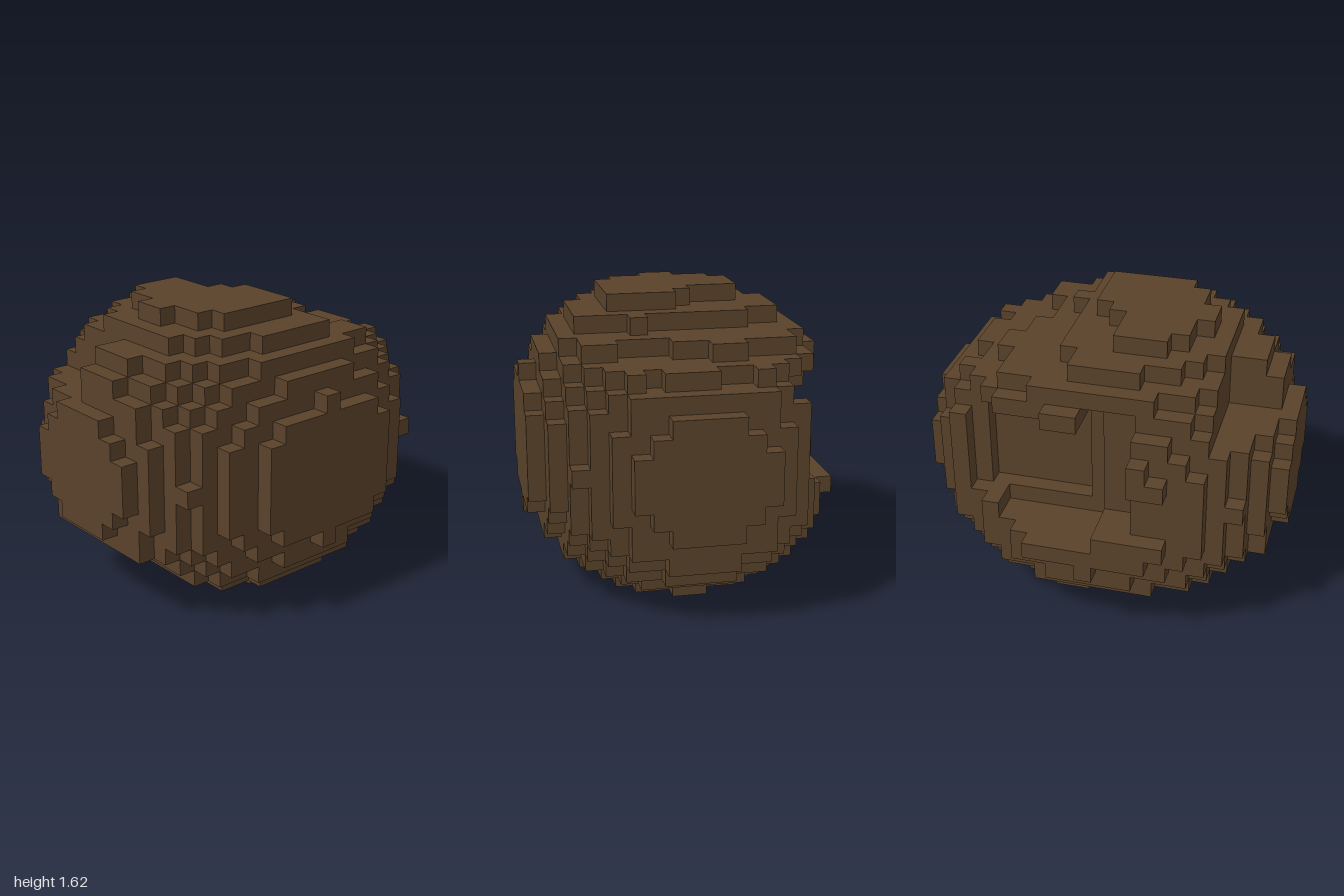
import * as THREE from 'three';

const V = 2 / 21; // edge of one block

// Blocky ellipsoid: x runs over half numbers, y and z over whole ones
const inBody = (x, y, z) => Math.abs(z) <= 10 && x * x + 1.109 * y * y + 0.74 * z * z <= 90;

// Hollow in the -x side with a stepped inner wall, notched rim and worn back corner
function inHollow(x, y, z) {
  const wall = z === -7 ? -5 : z < 0 ? -4 : z === 0 ? -5 : -6;
  if (z >= -7 && z <= 2 && x < wall) {
    if (y >= -1 && y <= (z < 0 ? 4 : 5)) return true;
    // rubble left on the floor
    if (y === -2 && z > -6 && z < 1 && x < -5) return true;
  }
  if (x < -8 && (y > 3 || (y > -2 && y < 2))) return true;
  if (z <= -7) return x < -6;
  if (z <= -5) return x < -7;
  return z === -4 && x < -8;
}

// Worn back edge of the upper levels: first block left in z
function backLimit(x, y) {
  if (y === 8) return x < -1 ? 1 : x < 0 ? 0 : -1;
  if (y === 7) return x < -4 ? -1 : x === 2.5 ? -3 : -2;
  if (y === 6) return x > 1 && x < 4 ? -4 : x > -3 && x < -1 ? -6 : -5;
  if (y === 5) return x === 2.5 || (x > -3 && x < -1) ? -7 : -8;
  return -10;
}

// Worn front and -x edge of the lowest levels: last block left in z
function frontLimit(x, y) {
  if (y === -8) return x < -3 ? -3 : x < -2 ? -2 : x < -1 ? 0 : x > 3 ? 1 : x > 2 ? 2 : 3;
  if (y === -7) return x < -4 ? -1 : x < -3 ? 1 : x < -1 ? 2 : 4;
  if (y === -6) return 6;
  return y === -5 ? 7 : 10;
}

// Chip out of the upper front
const inFrontChip = (x, y, z) => z >= 7 && y >= 4 && y <= 6 && x < -1 && x > -6;

const solid = (x, y, z) =>
  inBody(x, y, z) && !inHollow(x, y, z) && !inFrontChip(x, y, z) &&
  z >= backLimit(x, y) && z <= frontLimit(x, y);

// Outer faces of all blocks
function blockSurface() {
  const positions = [], normals = [];
  const put = (p, n) => {
    positions.push(p[0] * V, (p[1] + 8.5) * V, p[2] * V);
    normals.push(n[0], n[1], n[2]);
  };
  for (let x = -8.5; x <= 8.5; x++)
    for (let y = -8; y <= 8; y++)
      for (let z = -10; z <= 10; z++) {
        if (!solid(x, y, z)) continue;
        for (let axis = 0; axis < 3; axis++)
          for (const sign of [1, -1]) {
            const n = [0, 0, 0];
            n[axis] = sign;
            if (solid(x + n[0], y + n[1], z + n[2])) continue;
            const corner = (a, b) => {
              const p = [x, y, z];
              p[axis] += sign / 2;
              p[(axis + 1) % 3] += (a * sign) / 2;
              p[(axis + 2) % 3] += b / 2;
              return p;
            };
            const q = [corner(-1, -1), corner(1, -1), corner(1, 1), corner(-1, 1)];
            for (const i of [0, 1, 2, 0, 2, 3]) put(q[i], n);
          }
      }
  const g = new THREE.BufferGeometry();
  g.setAttribute('position', new THREE.Float32BufferAttribute(positions, 3));
  g.setAttribute('normal', new THREE.Float32BufferAttribute(normals, 3));
  return g;
}

export function createModel() {
  const group = new THREE.Group();
  group.name = 'hollowBoulder';
  const brown = new THREE.MeshStandardMaterial({ color: 0x59422a });
  brown.name = 'dark brown';
  const body = new THREE.Mesh(blockSurface(), brown);
  body.name = 'boulderBody';
  group.add(body);
  return group;
}
